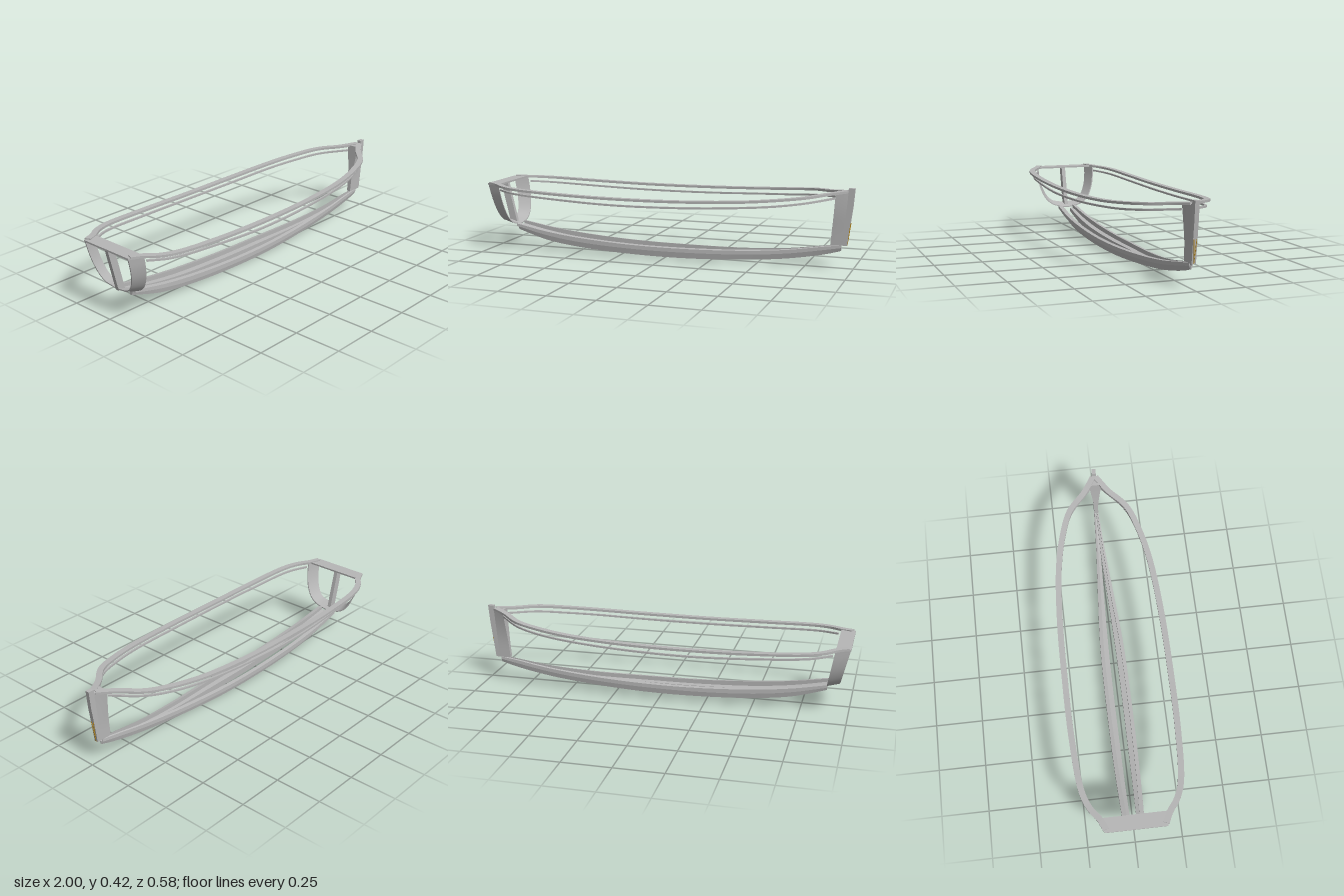
import * as THREE from 'three';
import { toCreasedNormals } from 'three/addons/utils/BufferGeometryUtils.js';

const V = (x, y, z) => new THREE.Vector3(x, y, z);

// Interpolates coarse cross-sections with one spline per corner.
function smoothRings(rings, n) {
  const curves = rings[0].map((_, c) => new THREE.CatmullRomCurve3(rings.map(r => r[c])));
  return Array.from({ length: n + 1 }, (_, i) => curves.map(c => c.getPoint(i / n)));
}

// Closed solid through a row of convex cross-sections, always facing outward.
function loft(rings) {
  const tris = [];
  const m = rings[0].length;
  for (let i = 0; i < rings.length - 1; i++) {
    for (let j = 0; j < m; j++) {
      const k = (j + 1) % m;
      const a = rings[i][j], b = rings[i][k], c = rings[i + 1][k], d = rings[i + 1][j];
      tris.push([a, b, c], [a, c, d]);
    }
  }
  const first = rings[0], last = rings[rings.length - 1];
  for (let j = 1; j < m - 1; j++) {
    tris.push([first[0], first[j + 1], first[j]], [last[0], last[j], last[j + 1]]);
  }
  const volume = tris.reduce((s, [a, b, c]) => s + a.dot(b.clone().cross(c)), 0);
  const points = tris.flatMap(([a, b, c]) => (volume < 0 ? [a, c, b] : [a, b, c]));
  const geometry = new THREE.BufferGeometry().setFromPoints(points);
  geometry.computeVertexNormals();
  return toCreasedNormals(geometry, 0.6);
}

// Rectangular bar following a path, kept level across its width.
function bar(path, width, height, n) {
  const curve = new THREE.CatmullRomCurve3(path.map(p => V(...p)));
  const rings = [];
  for (let i = 0; i <= n; i++) {
    const p = curve.getPoint(i / n), t = curve.getTangent(i / n);
    const side = V(-t.z, 0, t.x).normalize().multiplyScalar(width / 2);
    const up = V(0, height / 2, 0);
    rings.push([
      p.clone().sub(side).sub(up), p.clone().add(side).sub(up),
      p.clone().add(side).add(up), p.clone().sub(side).add(up),
    ]);
  }
  return loft(rings);
}

const mirrored = (path, s) => path.map(([x, y, z]) => [x, y, z * s]);

export function createModel() {
  const model = new THREE.Group();
  const grey = new THREE.MeshStandardMaterial({ color: 0xb6b6b6 });
  grey.name = 'grey';
  const gold = new THREE.MeshStandardMaterial({ color: 0xc09020 });
  gold.name = 'gold';
  const add = (name, geometry, material = grey) => {
    const mesh = new THREE.Mesh(geometry, material);
    mesh.name = name;
    model.add(mesh);
  };

  const railPath = [
    [-0.985, 0.369, 0.15], [-0.93, 0.366, 0.175], [-0.87, 0.361, 0.218], [-0.78, 0.356, 0.25],
    [-0.5, 0.346, 0.272], [-0.2, 0.341, 0.276], [0.15, 0.344, 0.27], [0.45, 0.355, 0.246],
    [0.63, 0.367, 0.208], [0.77, 0.379, 0.155], [0.87, 0.389, 0.065], [0.955, 0.398, 0.008],
  ];
  const stringerPath = [
    [-0.91, 0.338, 0.183], [-0.8, 0.33, 0.235], [-0.5, 0.316, 0.268], [-0.2, 0.308, 0.28],
    [0.15, 0.312, 0.27], [0.45, 0.325, 0.244], [0.63, 0.336, 0.205], [0.77, 0.35, 0.148],
    [0.9, 0.365, 0.033],
  ];
  // x, bottom, seam and top heights, then inner, seam and outer half-widths
  const strakes = [
    [-0.88, 0.095, 0.118, 0.134, 0.017, 0.034, 0.058],
    [-0.7, 0.046, 0.08, 0.102, 0.02, 0.043, 0.065],
    [-0.5, 0.02, 0.054, 0.079, 0.021, 0.048, 0.069],
    [-0.2, 0.003, 0.038, 0.061, 0.022, 0.05, 0.07],
    [0.1, 0.0, 0.036, 0.058, 0.019, 0.045, 0.065],
    [0.4, 0.01, 0.043, 0.065, 0.01, 0.027, 0.045],
    [0.65, 0.032, 0.062, 0.083, 0.001, 0.015, 0.026],
    [0.85, 0.067, 0.093, 0.112, 0.001, 0.008, 0.015],
    [0.935, 0.09, 0.108, 0.123, 0.001, 0.006, 0.011],
  ];

  for (const s of [1, -1]) {
    const side = s > 0 ? 'left' : 'right';
    add(side + 'Gunwale', bar(mirrored(railPath, s), 0.031, 0.012, 60));
    add(side + 'Stringer', bar(mirrored(stringerPath, s), 0.01, 0.01, 60));

    // Lower and upper bottom strakes
    const lower = strakes.map(([x, y0, y1, , z0, z1]) => [
      V(x, y0, s * z0), V(x, y0, s * (z1 - 0.003)),
      V(x, y1, s * (z1 + 0.003)), V(x, y1 - 0.003, s * z0),
    ]);
    const upper = strakes.map(([x, , y1, y2, , z1, z2]) => [
      V(x, y1 - 0.001, s * z1), V(x, y1 - 0.001, s * z2),
      V(x, y2 - 0.003, s * (z2 - 0.001)), V(x, y2, s * z1),
    ]);
    add(side + 'LowerStrake', loft(smoothRings(lower, 48)));
    add(side + 'UpperStrake', loft(smoothRings(upper, 48)));

    // Gilt lines on the face of the stem
    add(side + 'StemLine', loft([
      [V(0.964, 0.121, -0.001), V(0.967, 0.121, -0.001), V(0.967, 0.121, 0.001), V(0.964, 0.121, 0.001)],
      [-0.0012, 0.0012].flatMap((d, i) => (i ? [0.982, 0.978] : [0.978, 0.982])
        .map(x => V(x, 0.237, s * 0.007 + d))),
    ]), gold);
  }

  // Stem: wide behind at the top, narrowing towards the foot
  const stem = [
    [0.12, 0.88, 0.945, 0.011], [0.21, 0.888, 0.951, 0.013],
    [0.3, 0.897, 0.958, 0.023], [0.397, 0.905, 0.966, 0.035],
  ].map(([y, back, front, w]) => [V(back, y, -w), V(back, y, w), V(front, y, 0.011), V(front, y, -0.011)]);
  add('stem', loft(smoothRings(stem, 12)));
  const stemFace = [
    [0.12, 0.944, 0.965], [0.237, 0.953, 0.979], [0.32, 0.959, 0.99], [0.416, 0.966, 0.998],
  ].map(([y, back, front]) => [V(back, y, -0.011), V(back, y, 0.011), V(front, y, 0.011), V(front, y, -0.011)]);
  add('stemFace', loft(stemFace));

  // Stern strap: forward and aft edges as [z, y] pairs, from the top to the centre
  const aftX = y => -1 + (0.37 - y) * 0.24;
  const foreX = y => -0.925 + (0.37 - y) * 0.18;
  const half = [
    [0.182, 0.365, 0.156, 0.368], [0.178, 0.3, 0.152, 0.3], [0.162, 0.23, 0.138, 0.235],
    [0.13, 0.17, 0.11, 0.18], [0.09, 0.14, 0.08, 0.155], [0.05, 0.128, 0.045, 0.146],
    [0, 0.121, 0, 0.141],
  ];
  const hoop = [...half, ...half.slice(0, -1).reverse().map(([a, b, c, d]) => [-a, b, -c, d])];
  const strap = hoop.map(([fz, fy, az, ay]) => {
    const f = V(foreX(fy), fy, fz), a = V(aftX(ay), ay, az);
    const inward = V(0, 0.26 - fy, -fz).setY(Math.max(0, 0.26 - fy)).normalize().multiplyScalar(0.006);
    return [f, a, a.clone().add(inward), f.clone().add(inward)];
  });
  add('sternStrap', loft(smoothRings(strap, 48)));

  // Stern cross beam and centre post
  const beam = [0.36, 0.369].map(y => [
    V(-1, y, 0.157), V(-0.925, y, 0.182), V(-0.925, y, -0.182), V(-1, y, -0.157),
  ]);
  add('sternBeam', loft(beam));
  const post = [0.135, 0.362].map(y => [
    V(aftX(y), y, 0.011), V(aftX(y) + 0.04, y, 0.011), V(aftX(y) + 0.04, y, -0.011), V(aftX(y), y, -0.011),
  ]);
  add('sternPost', loft(post));

  return model;
}
